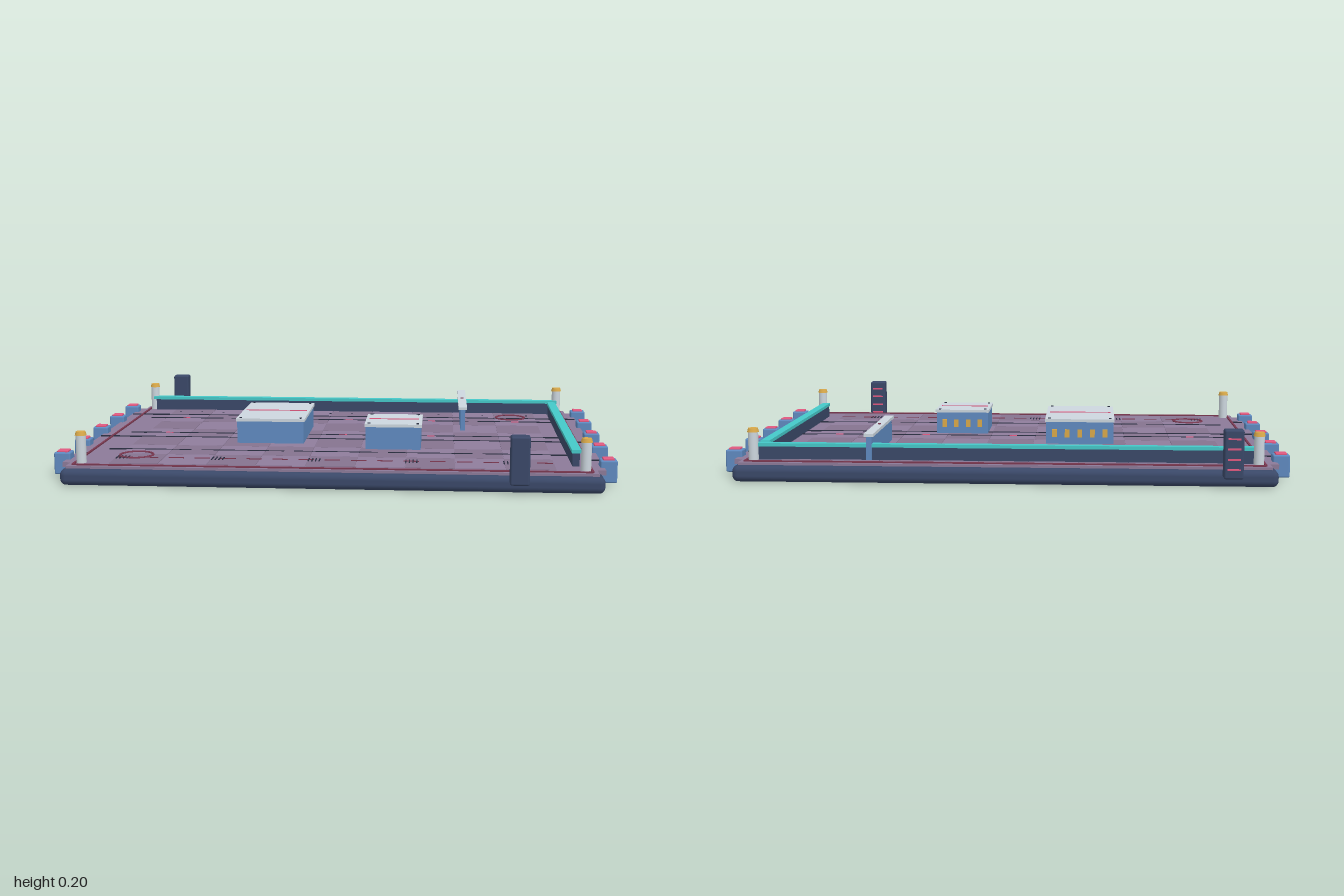
import * as THREE from 'three';
import { RoundedBoxGeometry } from 'three/addons/geometries/RoundedBoxGeometry.js';

const colors = {
  navy: 0x3a4868, ink: 0x2a2f42, purple: 0x8c7a98, tileDark: 0x85738f, tileLight: 0x8f7d9c, maroon: 0x7a3850,
  blue: 0x5f8ac0, pink: 0xe0587f, teal: 0x45c8c8, pale: 0xccd6de, gold: 0xd9a94a,
};

export function createModel() {
  const model = new THREE.Group();
  const mats = {};
  for (const key in colors) mats[key] = new THREE.MeshStandardMaterial({ color: colors[key] });

  const add = (name, geometry, color, x, y, z, parent = model) => {
    const mesh = new THREE.Mesh(geometry, mats[color]);
    mesh.name = name;
    mesh.position.set(x, y, z);
    parent.add(mesh);
    return mesh;
  };
  // Box given by its extents on each axis; r rounds the edges
  const box = (name, color, [x0, x1], [y0, y1], [z0, z1], r = 0, parent = model) => {
    const size = [x1 - x0, y1 - y0, z1 - z0];
    const geometry = r ? new RoundedBoxGeometry(...size, 3, r) : new THREE.BoxGeometry(...size);
    return add(name, geometry, color, (x0 + x1) / 2, (y0 + y1) / 2, (z0 + z1) / 2, parent);
  };
  const group = (name) => {
    const g = new THREE.Group();
    g.name = name;
    model.add(g);
    return g;
  };

  // Base and deck
  box('base', 'navy', [-0.945, 0.945], [0, 0.058], [-0.685, 0.685], 0.022);
  box('deck', 'purple', [-0.925, 0.925], [0.04, 0.067], [-0.662, 0.662]);
  for (const s of [-1, 1]) {
    box('deckSide', 'purple', [s * 0.935 - 0.02, s * 0.935 + 0.02], [0.05, 0.067], [-0.6, 0.6]);
    box('borderSide', 'maroon', [s * 0.905 - 0.004, s * 0.905 + 0.004], [0.065, 0.072], [-0.645, 0.645]);
    box('borderEnd', 'maroon', [-0.905, 0.905], [0.065, 0.072], [s * 0.645 - 0.004, s * 0.645 + 0.004]);
  }

  // Checkered floor tiles
  const tiles = group('floorTiles');
  const pitch = 0.1745;
  for (let i = -4; i <= 4; i++) {
    for (let j = -3; j <= 3; j++) {
      const x = i * pitch, z = j * pitch, h = pitch / 2 - 0.001;
      box('tile', (i + j) % 2 ? 'tileDark' : 'tileLight', [x - h, x + h], [0.064, 0.069], [z - h, z + h], 0, tiles);
    }
  }

  // Floor seams, dashes and markings
  const marks = group('floorMarkings');
  const line = (name, color, x, z, w, d) =>
    box(name, color, [x - w / 2, x + w / 2], [0.066, 0.0715], [z - d / 2, z + d / 2], 0, marks);
  for (const z of [-0.435, 0.09]) line('seam', 'ink', 0, z, 1.9, 0.005);
  line('seam', 'ink', 0, 0, 1.7, 0.003);
  for (const s of [-1, 1]) line('edgeTick', 'ink', s * 0.93, 0.435, 0.04, 0.005);
  for (let k = -2; k <= 2; k++) {
    line('dash', 'ink', k * 0.347, -0.35, 0.31, 0.006);
    line('thinDash', 'ink', k * 0.347, 0.35, 0.31, 0.003);
    for (const z of [-0.35, 0]) line('marker', 'pink', k * 0.347, z, 0.03, 0.008);
    for (let t = 0; t < 4; t++) line('tick', 'ink', k * 0.347 - 0.085 + t * 0.013, 0.505, 0.004, 0.045);
  }
  for (let k = -8; k <= 8; k++) {
    line('redDash', 'maroon', k * 0.094, 0.505, 0.055, 0.006);
    line('backDot', 'ink', k * 0.094, -0.505, 0.008, 0.004);
  }
  for (const [x, z] of [[0.68, -0.455], [-0.72, 0.46]]) {
    add('floorRing', new THREE.TorusGeometry(0.06, 0.005, 6, 32), 'maroon', x, 0.069, z, marks).rotation.x = Math.PI / 2;
  }

  // Low walls with bright top trim
  box('backWall', 'navy', [-0.875, 0.87], [0.06, 0.116], [-0.597, -0.575]);
  box('backTrim', 'teal', [-0.885, 0.885], [0.114, 0.126], [-0.602, -0.57]);
  box('sideWall', 'navy', [0.845, 0.87], [0.06, 0.116], [-0.535, 0.535]);
  box('sideTrim', 'teal', [0.842, 0.875], [0.114, 0.126], [-0.538, 0.538]);

  // Corner posts with gold caps
  for (const x of [-0.885, 0.885]) {
    for (const z of [-0.6, 0.6]) {
      const post = group('cornerPost');
      add('postShaft', new THREE.CylinderGeometry(0.018, 0.018, 0.105, 16), 'pale', x, 0.115, z, post);
      add('postCap', new THREE.CylinderGeometry(0.017, 0.021, 0.014, 16), 'gold', x, 0.173, z, post);
    }
  }

  // Edge clamps along both sides
  for (const s of [-1, 1]) {
    for (let k = -2; k <= 2; k++) {
      const clamp = group('edgeClamp');
      const x = s * 0.97, z = k * 0.2625;
      box('clampBody', 'blue', [x - 0.03, x + 0.03], [0.012, 0.092], [z - 0.028, z + 0.028], 0.006, clamp);
      box('clampPad', 'pink', [x - 0.02, x + 0.02], [0.088, 0.098], [z - 0.02, z + 0.02], 0.003, clamp);
    }
  }

  // Upright pylons with striped rear faces
  for (const [x, z] of [[-0.785, -0.709], [0.652, 0.709]]) {
    const pylon = group('pylon');
    box('pylonBody', 'navy', [x - 0.033, x + 0.033], [0.037, 0.205], [z - 0.026, z + 0.026], 0.007, pylon);
    for (let k = 0; k < 4; k++) {
      const y = 0.07 + k * 0.035;
      box('pylonStripe', 'pink', [x - 0.022, x + 0.022], [y - 0.003, y + 0.003], [z - 0.03, z - 0.022], 0, pylon);
    }
  }

  // Equipment blocks: lid, centre stripe, corner screws, rear windows
  const block = (x0, x1, z0, z1, windows) => {
    const g = group('equipmentBlock');
    const midZ = (z0 + z1) / 2;
    box('blockBody', 'blue', [x0 + 0.004, x1 - 0.004], [0.064, 0.155], [z0 + 0.004, z1 - 0.004], 0, g);
    box('blockLid', 'pale', [x0, x1], [0.153, 0.164], [z0, z1], 0, g);
    box('lidStripe', 'pink', [x0 + 0.012, x1 - 0.012], [0.16, 0.1665], [midZ - 0.003, midZ + 0.003], 0, g);
    for (const x of [x0 + 0.016, x1 - 0.016]) {
      for (const z of [z0 + 0.016, z1 - 0.016])
        add('lidScrew', new THREE.CylinderGeometry(0.005, 0.005, 0.006, 8), 'ink', x, 0.164, z, g);
    }
    for (let k = 0; k < windows; k++) {
      const x = x0 + ((x1 - x0) * (k + 0.75)) / (windows + 0.5);
      box('window', 'gold', [x - 0.009, x + 0.009], [0.095, 0.125], [z0 - 0.002, z0 + 0.006], 0, g);
    }
  };
  block(-0.395, -0.132, -0.198, 0.2, 5);
  block(0.102, 0.315, 0.053, 0.29, 4);

  // Freestanding divider with capping strip
  box('divider', 'blue', [0.464, 0.483], [0.064, 0.155], [-0.605, -0.135]);
  box('dividerCap', 'pale', [0.456, 0.49], [0.153, 0.164], [-0.612, -0.13]);
  add('dividerMarker', new THREE.CylinderGeometry(0.006, 0.006, 0.006, 8), 'maroon', 0.473, 0.164, -0.37);

  return model;
}
